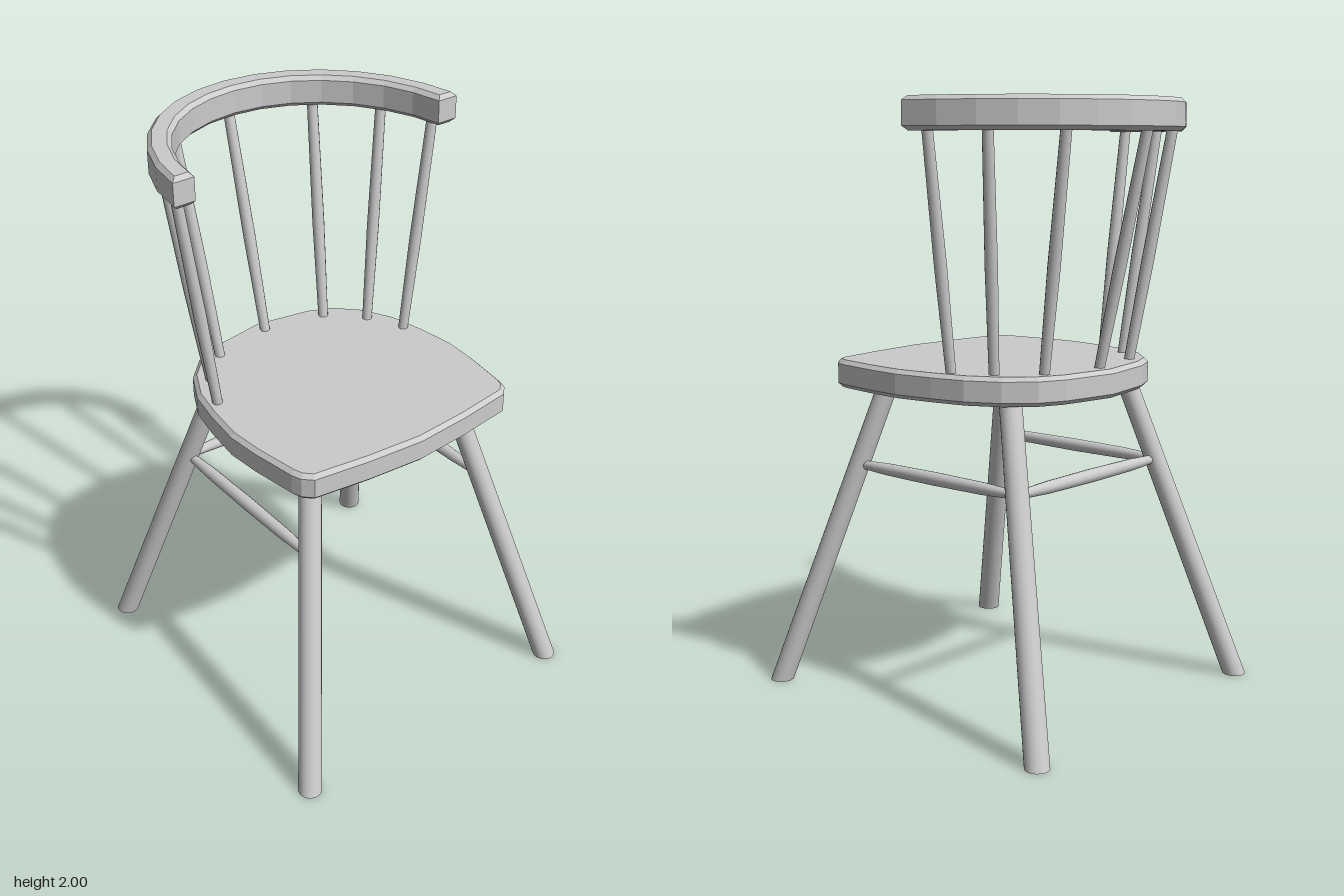
import * as THREE from 'three';

const mat = new THREE.MeshStandardMaterial({ color: 0xcccccc });
const flatMat = new THREE.MeshStandardMaterial({ color: 0xcccccc, flatShading: true });
const V = (x, y, z) => new THREE.Vector3(x, y, z);

function addMesh(group, name, geometry, material = mat) {
  const mesh = new THREE.Mesh(geometry, material);
  mesh.name = name;
  group.add(mesh);
  return mesh;
}

// Horizontal slab with chamfered edges; outline points are [x, z]
function slab(outline, bottom, top, bevel) {
  const shape = new THREE.Shape(outline.map(([x, z]) => new THREE.Vector2(x, z)));
  const geo = new THREE.ExtrudeGeometry(shape, {
    depth: top - bottom - 2 * bevel, bevelEnabled: true, bevelSegments: 1,
    bevelSize: bevel, bevelThickness: bevel, bevelOffset: -bevel,
  });
  return geo.rotateX(Math.PI / 2).translate(0, top - bevel, 0);
}

// Turned rod between two points; profile entries are [fraction along, radius]
function rod(group, name, a, b, profile) {
  const length = a.distanceTo(b);
  const points = profile.map(([t, r]) => new THREE.Vector2(r, t * length));
  const mesh = addMesh(group, name, new THREE.LatheGeometry(points, 12));
  mesh.position.copy(a);
  mesh.quaternion.setFromUnitVectors(V(0, 1, 0), b.clone().sub(a).normalize());
}

export function createModel() {
  const chair = new THREE.Group();
  chair.name = 'chair';

  // Seat: half outline from back to front, mirrored
  const half = [
    [0, -0.447], [0.2, -0.412], [0.29, -0.372], [0.37, -0.29], [0.425, -0.18],
    [0.45, -0.06], [0.468, 0.08], [0.46, 0.2], [0.437, 0.36], [0.425, 0.395],
    [0.395, 0.425], [0.2, 0.452], [0, 0.468],
  ];
  const mirrored = half.slice(1, -1).reverse().map(([x, z]) => [-x, z]);
  addMesh(chair, 'seat', slab([...half, ...mirrored], 1.045, 1.14, 0.014), flatMat);

  // Curved top rail: outer and inner elliptical arcs
  const arc = (rx, rz, zEnd) => {
    const start = Math.asin(zEnd / rz), pts = [];
    for (let i = 0; i <= 14; i++) {
      const a = start + (i / 14) * (Math.PI - 2 * start);
      pts.push([rx * Math.cos(a), -rz * Math.sin(a)]);
    }
    return pts;
  };
  const rail = [...arc(0.55, 0.603, 0.043), ...arc(0.475, 0.524, 0.043).reverse()];
  addMesh(chair, 'topRail', slab(rail, 1.895, 2, 0.014), flatMat);

  // Spindles: [bottom x, bottom z, top x, top z]
  const spindleProfile = [[0, 0.017], [0.45, 0.021], [1, 0.018]];
  const spindles = [
    [0, -0.383, 0, -0.568], [0.223, -0.338, 0.277, -0.468],
    [0.335, -0.228, 0.435, -0.292], [0.395, -0.1, 0.505, -0.107],
  ];
  for (const [x0, z0, x1, z1] of spindles) {
    for (const s of x0 ? [1, -1] : [1]) {
      rod(chair, 'spindle', V(s * x0, 1.12, z0), V(s * x1, 1.92, z1), spindleProfile);
    }
  }

  // Splayed legs, sheared so the feet lie flat on the floor
  const legHeight = 1.08;
  const legPoint = (sx, sz, y) => {
    const t = y / 1.05;
    return V(sx * (0.545 - 0.24 * t), y, sz * 0.584 + t * (sz > 0 ? -0.304 : 0.314));
  };
  for (const sx of [1, -1]) {
    for (const sz of [1, -1]) {
      const foot = legPoint(sx, sz, 0), head = legPoint(sx, sz, legHeight);
      const geo = new THREE.CylinderGeometry(0.037, 0.04, legHeight, 20);
      geo.translate(0, legHeight / 2, 0);
      const shear = new THREE.Matrix4().set(
        1, (head.x - foot.x) / legHeight, 0, foot.x,
        0, 1, 0, 0,
        0, (head.z - foot.z) / legHeight, 1, foot.z,
        0, 0, 0, 1);
      addMesh(chair, sz > 0 ? 'frontLeg' : 'backLeg', geo.applyMatrix4(shear));
    }
  }

  // Stretchers on both sides and at the back
  const stretcherProfile = [[0, 0.014], [0.2, 0.021], [0.5, 0.023], [0.8, 0.021], [1, 0.014]];
  const y = 0.775;
  for (const sx of [1, -1]) {
    rod(chair, 'sideStretcher', legPoint(sx, 1, y), legPoint(sx, -1, y), stretcherProfile);
  }
  rod(chair, 'backStretcher', legPoint(-1, -1, y), legPoint(1, -1, y), stretcherProfile);

  return chair;
}
